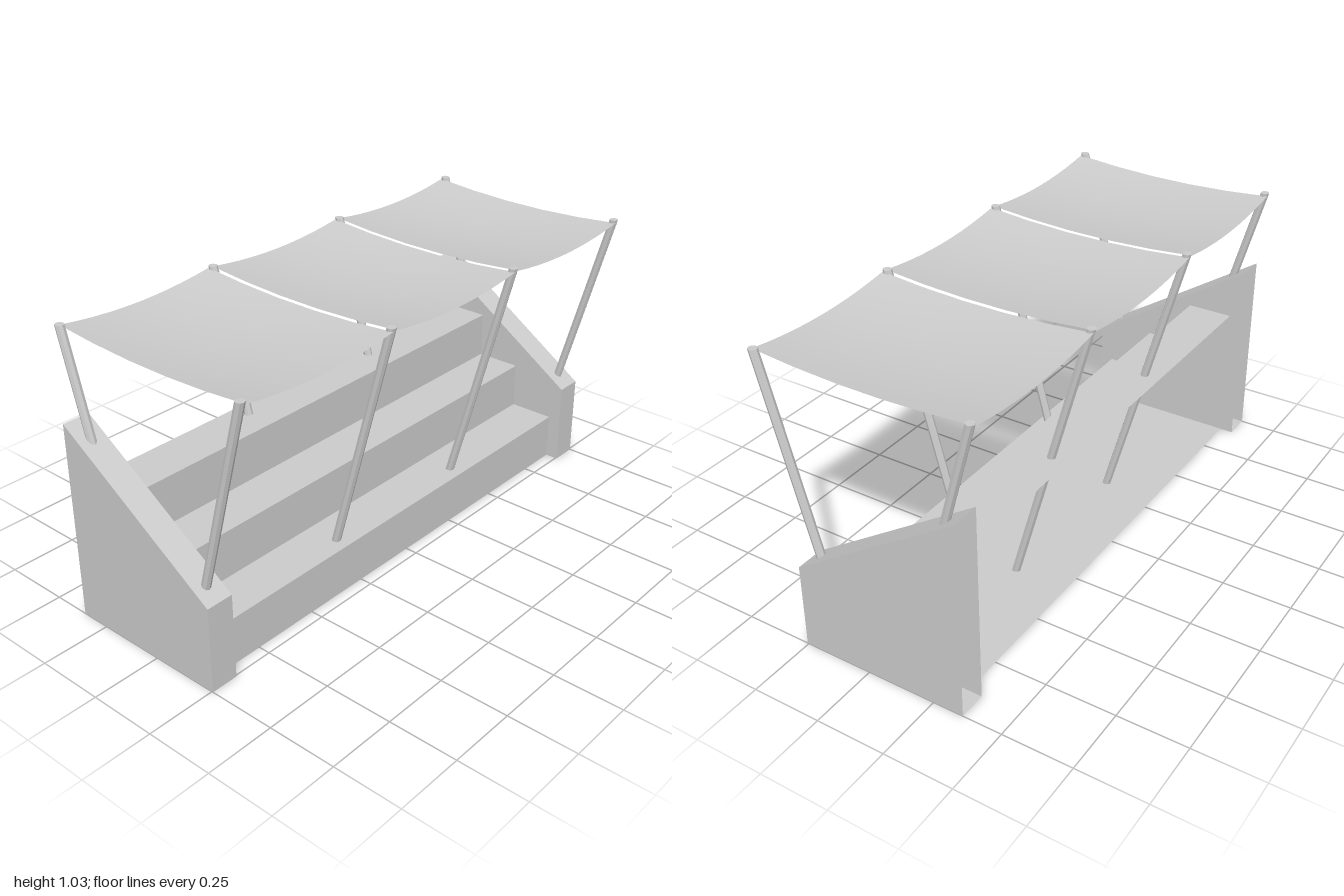
import * as THREE from 'three';

const material = new THREE.MeshStandardMaterial({ color: 0xcccccc, side: THREE.DoubleSide });
const flat = new THREE.MeshStandardMaterial({ color: 0xcccccc, side: THREE.DoubleSide, flatShading: true });

function add(parent, name, geometry, mat = material) {
  const mesh = new THREE.Mesh(geometry, mat);
  mesh.name = name;
  parent.add(mesh);
  return mesh;
}

// Open sheet: a counterclockwise xy polyline swept from z0 to z1, with sharp folds
function sheet(profile, z0, z1) {
  const positions = [];
  for (let i = 0; i < profile.length - 1; i++) {
    const [ax, ay] = profile[i], [bx, by] = profile[i + 1];
    positions.push(ax, ay, z0, bx, by, z0, bx, by, z1, ax, ay, z0, bx, by, z1, ax, ay, z1);
  }
  const g = new THREE.BufferGeometry();
  g.setAttribute('position', new THREE.Float32BufferAttribute(positions, 3));
  g.computeVertexNormals();
  return g;
}

// Fabric panel sagging along both directions
function canopyPanel(width, depth) {
  const g = new THREE.PlaneGeometry(width, depth, 5, 10);
  g.rotateX(-Math.PI / 2);
  const p = g.attributes.position;
  for (let i = 0; i < p.count; i++) {
    const u = p.getX(i) / (width / 2), v = p.getZ(i) / (depth / 2);
    p.setY(i, 1.021 - 0.021 * (1 - u * u) - 0.025 * (1 - v * v));
  }
  g.computeVertexNormals();
  return g;
}

// Leaning pole with level ends: a cylinder sheared outwards with height
function pole(side) {
  const height = 1.03, bottom = 0.107, top = 0.387;
  const g = new THREE.CylinderGeometry(0.016, 0.016, height, 8);
  g.translate(0, height / 2, 0);
  const p = g.attributes.position;
  for (let i = 0; i < p.count; i++) {
    p.setX(i, p.getX(i) + side * (bottom + (top - bottom) * p.getY(i) / height));
  }
  g.computeVertexNormals();
  return g;
}

export function createModel() {
  const model = new THREE.Group();
  model.name = 'coveredBleachers';

  // Floor, risers and treads as one folded sheet, open at the back
  const back = -0.31, front = 0.207, steps = 3, rise = 0.173, run = (front - back) / steps;
  const profile = [[back, 0], [front, 0]];
  for (let i = 0; i < steps; i++) {
    profile.push([front - i * run, (i + 1) * rise], [front - (i + 1) * run, (i + 1) * rise]);
  }
  add(model, 'steps', sheet(profile, -0.9, 0.9));

  // Hollow sloping end walls, open at the back
  const wall = [[-0.36, 0], [0.255, 0], [0.255, 0.31], [-0.36, 0.717]];
  const face = new THREE.ShapeGeometry(new THREE.Shape(wall.map(([x, y]) => new THREE.Vector2(x, y))));
  for (const side of [-1, 1]) {
    const group = new THREE.Group();
    group.name = side > 0 ? 'frontEndWall' : 'backEndWall';
    add(group, 'wallRim', sheet(wall, side > 0 ? 0.9 : -1, side > 0 ? 1 : -0.9));
    const outer = add(group, 'outerPanel', face);
    outer.position.z = side;
    outer.scale.z = side;
    const inner = add(group, 'innerPanel', face);
    inner.position.z = side * 0.9;
    inner.scale.z = -side;
    model.add(group);
  }

  // Four pairs of poles spreading outwards
  for (const z of [-0.952, -0.317, 0.317, 0.952]) {
    for (const side of [-1, 1]) {
      add(model, side > 0 ? 'lowerPole' : 'upperPole', pole(side), flat).position.z = z;
    }
  }

  // Three canopy panels with narrow gaps between them
  for (const z of [-0.635, 0, 0.635]) {
    add(model, 'canopyPanel', canopyPanel(0.8, 0.618)).position.z = z;
  }
  return model;
}
